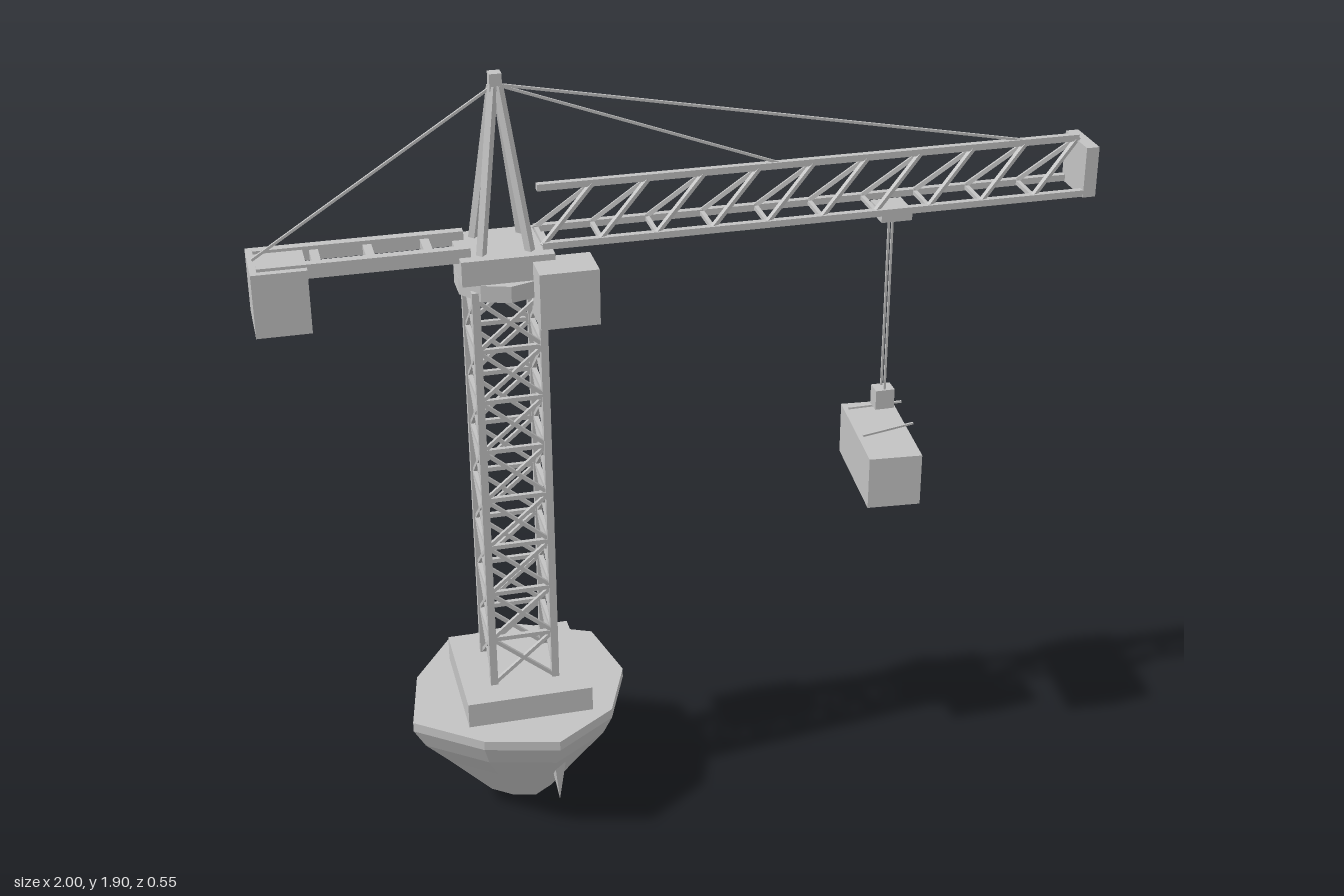
import * as THREE from 'three';

export function createModel() {
  const model = new THREE.Group();
  model.name = 'towerCrane';
  const grey = new THREE.MeshStandardMaterial({ color: 0xc2c2c2 });
  grey.name = 'lightGrey';
  const MX = -0.43; // mast axis
  const V = (x, y, z) => new THREE.Vector3(x, y, z);

  const group = (name, parent = model) => {
    const g = new THREE.Group();
    g.name = name;
    parent.add(g);
    return g;
  };
  const add = (parent, name, geo) => {
    const m = new THREE.Mesh(geo, grey);
    m.name = name;
    parent.add(m);
    return m;
  };
  // box given by its limits
  const block = (parent, name, x0, x1, y0, y1, z0, z1) => {
    const m = add(parent, name, new THREE.BoxGeometry(x1 - x0, y1 - y0, z1 - z0));
    m.position.set((x0 + x1) / 2, (y0 + y1) / 2, (z0 + z1) / 2);
    return m;
  };
  // square bar between two points
  const bar = (parent, name, a, b, w) => {
    const m = add(parent, name, new THREE.BoxGeometry(w, w, a.distanceTo(b)));
    m.position.copy(a).add(b).multiplyScalar(0.5);
    m.lookAt(b);
    return m;
  };
  const flat = (geo) => {
    const g = geo.index ? geo.toNonIndexed() : geo;
    g.computeVertexNormals();
    return g;
  };

  // Floating rock: nine-sided rings narrowing downwards
  const island = group('island');
  const radii = [0.267, 0.262, 0.277, 0.26, 0.305, 0.265, 0.286, 0.278, 0.296];
  const levels = [[0.295, 1], [0.27, 1], [0.215, 0.9], [0.135, 0.67], [0.005, 0.31]];
  const n = radii.length;
  const rings = levels.map(([y, s]) => radii.map((r, i) => {
    const a = (i / n) * Math.PI * 2;
    return V(MX + Math.cos(a) * r * s, y, Math.sin(a) * r * s);
  }));
  const pos = [];
  const tri = (...pts) => pts.forEach((p) => pos.push(p.x, p.y, p.z));
  const last = rings.length - 1;
  for (let i = 0; i < n; i++) {
    const j = (i + 1) % n;
    for (let k = 0; k < last; k++) {
      const [a, b, c, d] = [rings[k][i], rings[k][j], rings[k + 1][j], rings[k + 1][i]];
      tri(a, b, c);
      tri(a, c, d);
    }
    tri(V(MX, 0.295, 0), rings[0][j], rings[0][i]);
    tri(V(MX, 0, 0), rings[last][i], rings[last][j]);
  }
  const rockGeo = new THREE.BufferGeometry();
  rockGeo.setAttribute('position', new THREE.Float32BufferAttribute(pos, 3));
  add(island, 'rock', flat(rockGeo));

  // Hanging stone spikes
  for (const [x, y, z, r, h] of [[0.065, 0.1, 0.155, 0.024, 0.13], [-0.11, 0.09, -0.12, 0.02, 0.1]]) {
    const s = add(island, 'spike', flat(new THREE.ConeGeometry(r, h, 5)));
    s.rotation.x = Math.PI;
    s.position.set(MX + x, y, z);
  }
  block(island, 'foundation', MX - 0.155, MX + 0.155, 0.29, 0.36, -0.157, 0.157);

  // Lattice mast: four legs, eight cross-braced bays
  const mast = group('mast');
  const h = 0.077, y0 = 0.36, bay = 0.13, bays = 8;
  const corners = [[-h, -h], [h, -h], [h, h], [-h, h]];
  corners.forEach(([x, z], i) => {
    const [u, w] = corners[(i + 1) % 4];
    const P = (cx, y, cz) => V(MX + cx, y, cz);
    block(mast, 'mastLeg', MX + x - 0.009, MX + x + 0.009, y0, 1.42, z - 0.009, z + 0.009);
    for (let k = 0; k < bays; k++) {
      const b = y0 + k * bay, t = b + bay;
      bar(mast, 'mastRail', P(x, t, z), P(u, t, w), 0.011);
      bar(mast, 'mastBrace', P(x, b, z), P(u, t, w), 0.009);
      bar(mast, 'mastBrace', P(u, b, w), P(x, t, z), 0.009);
    }
  });

  // Turntable, machinery deck and cab
  const slew = group('slewingUnit');
  const ringMesh = add(slew, 'turntable', flat(new THREE.CylinderGeometry(0.113, 0.113, 0.04, 10)));
  ringMesh.position.set(MX, 1.42, 0);
  block(slew, 'machineDeck', MX - 0.107, MX + 0.107, 1.44, 1.5, -0.09, 0.09);
  block(slew, 'cab', -0.375, -0.238, 1.35, 1.485, 0.065, 0.168);

  // Tower head
  const head = group('towerHead');
  for (const sx of [-1, 1]) for (const sz of [-1, 1]) {
    bar(head, 'headLeg', V(MX + sx * 0.056, 1.495, sz * 0.056), V(MX + sx * 0.006, 1.875, sz * 0.006), 0.017);
  }
  block(head, 'headCap', MX - 0.014, MX + 0.014, 1.865, 1.905, -0.014, 0.014);

  // Triangular lattice jib
  const jib = group('jib');
  const jx0 = -0.345, jx1 = 0.972, jz = 0.054, low = 1.507, high = 1.628, cells = 10;
  const step = (jx1 - jx0) / cells;
  bar(jib, 'topChord', V(jx0, high, 0), V(jx1, high, 0), 0.016);
  for (const s of [-1, 1]) bar(jib, 'bottomChord', V(jx0, low, s * jz), V(jx1, low, s * jz), 0.016);
  for (let i = 0; i < cells; i++) {
    const x = jx0 + i * step;
    bar(jib, 'jibCrossbar', V(x + 0.005, low, -jz), V(x + 0.005, low, jz), 0.01);
    for (const s of [-1, 1]) bar(jib, 'jibDiagonal', V(x, low, s * jz), V(x + step, high, 0), 0.01);
  }
  block(jib, 'jibEndPlate', 0.968, 1, 1.497, 1.622, -0.063, 0.063);

  // Counter-jib and its weight
  const counter = group('counterJib');
  for (const s of [-1, 1]) {
    block(counter, 'counterBeam', -0.985, -0.51, 1.487, 1.521, s * 0.052 - 0.011, s * 0.052 + 0.011);
  }
  for (const x of [-0.85, -0.73, -0.6]) block(counter, 'counterCrossbar', x - 0.01, x + 0.01, 1.49, 1.512, -0.05, 0.05);
  block(counter, 'counterweight', -1, -0.875, 1.362, 1.514, -0.08, 0.08);

  // Stay cables
  const stays = group('stayCables');
  for (const [x, y] of [[-0.99, 1.518], [0.225, 1.633], [0.83, 1.633]]) {
    bar(stays, 'stayCable', V(MX, 1.877, 0), V(x, y, 0), 0.006);
  }

  // Trolley, hoist and hook block
  const hoist = group('hoist');
  const hx = 0.507;
  block(hoist, 'trolley', hx - 0.038, hx + 0.038, 1.474, 1.5, -0.042, 0.042);
  for (const s of [-1, 1]) bar(hoist, 'hoistCable', V(hx, 1.48, s * 0.012), V(hx, 1.01, s * 0.012), 0.005);
  block(hoist, 'hookBlock', hx - 0.024, hx + 0.024, 0.967, 1.018, -0.02, 0.02);

  // Slung cargo container, slightly turned
  const cargo = group('cargo');
  cargo.position.set(hx, 0, 0);
  cargo.rotation.y = -0.085;
  block(cargo, 'container', -0.066, 0.066, 0.765, 0.9, -0.152, 0.152);
  for (const s of [-1, 1]) {
    bar(cargo, 'sling', V(0, 0.97, s * 0.01), V(0, 0.898, s * 0.125), 0.005);
    block(cargo, 'doorBar', s * 0.032 - 0.02, s * 0.032 + 0.02, 0.77, 0.895, -0.158, -0.151);
  }
  return model;
}
